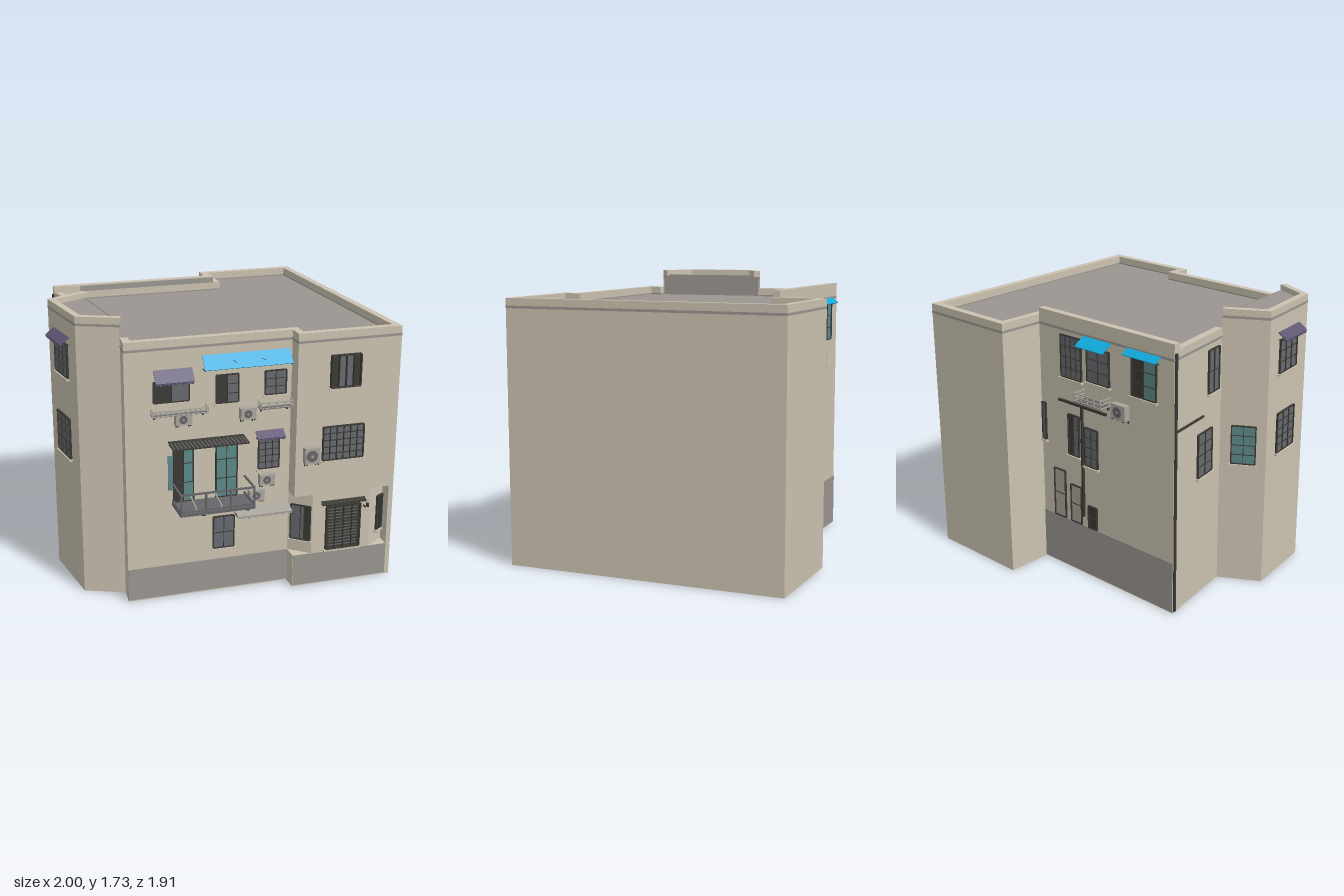
import * as THREE from 'three';

const mat = (name, color) => Object.assign(new THREE.MeshStandardMaterial({ color }), { name });
const M = {
  wall: mat('beige plaster', 0xcbc2b0),
  grey: mat('grey concrete', 0x9a9590),
  dark: mat('dark metal', 0x3b3a35),
  glass: mat('grey glass', 0x666a6e),
  teal: mat('teal glass', 0x5a8886),
  blue: mat('blue awning', 0x12a9dc),
  purple: mat('purple awning', 0x5f5673),
  metal: mat('light metal', 0xaaa59c),
  steel: mat('railing steel', 0x66666a),
};

function add(parent, geo, m, name, x = 0, y = 0, z = 0) {
  const mesh = new THREE.Mesh(geo, m);
  mesh.name = name;
  mesh.position.set(x, y, z);
  parent.add(mesh);
  return mesh;
}
// Box given by its extents
function box(p, name, m, x0, x1, y0, y1, z0, z1) {
  return add(p, new THREE.BoxGeometry(x1 - x0, y1 - y0, z1 - z0), m, name, (x0 + x1) / 2, (y0 + y1) / 2, (z0 + z1) / 2);
}
// Straight square bar between two points
function bar(p, name, m, a, b, t = 0.008) {
  const A = new THREE.Vector3(...a), B = new THREE.Vector3(...b);
  const mesh = add(p, new THREE.BoxGeometry(t, t, A.distanceTo(B)), m, name);
  mesh.position.copy(A).lerp(B, 0.5);
  mesh.lookAt(B);
  return mesh;
}
// Upright prism over a plan outline of [x, z] points
function prism(p, name, m, pts, y0, y1) {
  const shape = new THREE.Shape(pts.map(([x, z]) => new THREE.Vector2(x, -z)));
  const geo = new THREE.ExtrudeGeometry(shape, { depth: y1 - y0, bevelEnabled: false }).rotateX(-Math.PI / 2);
  return add(p, geo, m, name, 0, y0, 0);
}
// Open plan path shifted inward by d with mitred corners
function inset(pts, d) {
  const n = (a, b) => { const l = Math.hypot(b[0] - a[0], b[1] - a[1]); return [(b[1] - a[1]) / l, (a[0] - b[0]) / l]; };
  return pts.map((q, i) => {
    const n1 = i ? n(pts[i - 1], q) : n(q, pts[1]);
    const n2 = i < pts.length - 1 ? n(q, pts[i + 1]) : n1;
    const k = d / (1 + n1[0] * n2[0] + n1[1] * n2[1]);
    return [q[0] + (n1[0] + n2[0]) * k, q[1] + (n1[1] + n2[1]) * k];
  });
}
const parapet = (p, name, m, pts, d, y0, y1) => prism(p, name, m, [...pts, ...inset(pts, d).reverse()], y0, y1);

// Group lying on a wall: local x runs from a to b, local z points outward
function facade(root, name, a, b) {
  const g = new THREE.Group();
  g.name = name;
  g.position.set(a[0], 0, a[1]);
  g.rotation.y = Math.atan2(a[1] - b[1], b[0] - a[0]);
  root.add(g);
  return g;
}
// Window: one pane per colour, frame, glazing bars and sill
function win(p, x0, x1, y0, y1, { panes = [M.glass], cols = 2, rows = 2, depth = 0.012, sill = true } = {}) {
  const g = new THREE.Group();
  g.name = 'window';
  p.add(g);
  const w = (x1 - x0) / panes.length, t = 0.007;
  panes.forEach((m, i) => box(g, 'pane', m, x0 + i * w, x0 + (i + 1) * w, y0, y1, -0.003, 0.005));
  for (let i = 0; i <= cols; i++) {
    const x = x0 + (x1 - x0) * i / cols, h = i % cols ? t / 2 : t;
    box(g, 'upright', M.dark, x - h / 2, x + h / 2, y0, y1, 0, depth);
  }
  for (let i = 0; i <= rows; i++) {
    const y = y0 + (y1 - y0) * i / rows, h = i % rows ? t / 2 : t;
    box(g, 'crossbar', M.dark, x0, x1, y - h / 2, y + h / 2, 0, depth - 0.001);
  }
  if (sill) box(g, 'sill', M.wall, x0 - 0.012, x1 + 0.012, y0 - 0.014, y0 - 0.003, 0, 0.02);
}
// Sloping awning, with an optional scalloped fringe
function awning(p, m, x0, x1, yTop, yLow, depth, fringe) {
  const dy = yTop - yLow;
  const s = add(p, new THREE.BoxGeometry(x1 - x0, 0.006, Math.hypot(dy, depth)), m, 'awning', (x0 + x1) / 2, (yTop + yLow) / 2, depth / 2);
  s.rotation.x = Math.atan2(dy, depth);
  const n = fringe ? Math.round((x1 - x0) / 0.022) : 0, w = (x1 - x0) / n;
  for (let i = 0; i < n; i++)
    box(p, 'fringe', m, x0 + i * w, x0 + (i + 0.8) * w, yLow - (i % 2 ? 0.014 : 0.009), yLow + 0.003, depth - 0.006, depth);
  for (const x of [x0 + 0.005, x1 - 0.005]) bar(p, 'awningArm', M.dark, [x, yLow - 0.01, 0], [x, yLow, depth - 0.006], 0.004);
}
// Air conditioner with fan disc and brackets
function cooler(p, x0, x1, y0, y1) {
  box(p, 'airConditioner', M.metal, x0, x1, y0, y1, 0.005, 0.045);
  const r = (y1 - y0) * 0.36, x = x0 + (x1 - x0) * 0.45, y = (y0 + y1) / 2;
  add(p, new THREE.CylinderGeometry(r, r, 0.004, 16).rotateX(Math.PI / 2), M.steel, 'fanGrille', x, y, 0.046);
  add(p, new THREE.CylinderGeometry(r / 4, r / 4, 0.004, 8).rotateX(Math.PI / 2), M.metal, 'fanHub', x, y, 0.048);
  for (const bx of [x0 + 0.012, x1 - 0.012]) {
    box(p, 'bracket', M.dark, bx - 0.003, bx + 0.003, y0 - 0.006, y0, 0, 0.05);
    box(p, 'bracket', M.dark, bx - 0.003, bx + 0.003, y0 - 0.025, y0, 0, 0.006);
  }
}
// Slatted shelf under a window
function rack(p, x0, x1, y0, y1, d) {
  for (const y of [y0, (y0 + y1) / 2, y1]) {
    box(p, 'rackRail', M.metal, x0, x1, y - 0.003, y + 0.003, d - 0.006, d);
    for (const x of [x0, x1 - 0.006]) box(p, 'rackEnd', M.metal, x, x + 0.006, y - 0.003, y + 0.003, 0, d);
  }
  for (let i = 0; i <= 4; i++) {
    const x = x0 + (x1 - x0 - 0.006) * i / 4;
    box(p, 'rackPost', M.metal, x, x + 0.006, y0, y1, d - 0.006, d);
  }
  box(p, 'rackFloor', M.steel, x0, x1, y0 - 0.004, y0, 0, d);
  for (const x of [x0 + 0.02, x1 - 0.02]) box(p, 'rackBracket', M.dark, x - 0.004, x + 0.004, y0 - 0.03, y0, 0, 0.012);
}

export function createModel() {
  const root = new THREE.Group();
  root.name = 'townHouse';

  // Main body, with splayed corners beside the entrance
  const outline = [[-0.65, 0.6], [-0.66, 0.72], [0.35, 0.72], [0.35, 0.82], [1, 0.82], [0.93, -0.91],
    [0.27, -0.91], [0.27, -0.62], [-0.815, -0.62], [-0.72, -0.1]];
  const splayed = [...outline.slice(0, 3), [0.47, 0.82], [0.85, 0.82], [0.97, 0.74], [0.97, 0.82], ...outline.slice(4)];
  prism(root, 'lowerWalls', M.wall, outline, 0, 0.21);
  prism(root, 'groundFloorWalls', M.wall, splayed, 0.21, 0.6);
  prism(root, 'upperWalls', M.wall, outline, 0.6, 1.555);
  prism(root, 'roof', M.grey, inset(outline, 0.02), 1.555, 1.562);
  parapet(root, 'roofEdge', M.grey, inset(outline, -0.001), 0.044, 1.555, 1.57);
  parapet(root, 'parapet', M.wall, outline, 0.045, 1.57, 1.615);
  box(root, 'backParapet', M.wall, -0.815, 0.27, 1.61, 1.655, -0.62, -0.575);
  box(root, 'backParapetFace', M.grey, -0.64, 0.268, 1.615, 1.65, -0.576, -0.573);

  // Taller corner bay
  const bay = [[-0.72, -0.1], [-0.96, 0.04], [-0.885, 0.5], [-0.65, 0.6]];
  prism(root, 'bayWalls', M.wall, bay, 0, 1.69);
  prism(root, 'bayRoof', M.grey, inset(bay, 0.01), 1.69, 1.696);
  parapet(root, 'bayParapet', M.wall, bay, 0.04, 1.69, 1.73);
  parapet(root, 'bayRoofEdge', M.grey, inset(bay, -0.001), 0.01, 1.675, 1.69);
  parapet(root, 'bayInnerFace', M.grey, [[-0.645, 0.59], [-0.715, -0.09]], 0.006, 1.562, 1.7);

  // Concrete plinth bands
  parapet(root, 'frontPlinth', M.grey, [[-0.66, 0.723], [0.353, 0.723], [0.353, 0.823], [0.97, 0.823]], 0.004, 0.008, 0.21);
  box(root, 'backPlinth', M.grey, -0.815, 0.27, 0.008, 0.33, -0.624, -0.62);

  // Front left wall, top floor
  const fl = facade(root, 'frontLeftWall', [0, 0.72], [1, 0.72]);
  win(fl, -0.49, -0.28, 1.245, 1.37, { panes: [M.dark, M.glass], rows: 1 });
  awning(fl, M.purple, -0.49, -0.26, 1.44, 1.375, 0.06, true);
  win(fl, -0.115, 0.02, 1.21, 1.38, { panes: [M.dark, M.glass], rows: 3 });
  win(fl, 0.185, 0.315, 1.235, 1.38, { rows: 3 });
  awning(fl, M.blue, -0.2, 0.335, 1.505, 1.43, 0.06);
  for (const x of [-0.02, 0.155]) bar(fl, 'awningSeam', M.steel, [x, 1.508, 0.004], [x, 1.433, 0.064], 0.003);
  rack(fl, -0.51, -0.175, 1.18, 1.21, 0.06);
  rack(fl, 0.14, 0.345, 1.165, 1.2, 0.06);
  for (const [x, y, w] of [[-0.37, 1.11, 0.1], [0.025, 1.105, 0.095], [0.15, 0.675, 0.095], [0.085, 0.58, 0.095]])
    cooler(fl, x, x + w, y, y + 0.068);

  // Middle floor balcony doors, canopy and window
  win(fl, -0.375, -0.255, 0.62, 0.98, { panes: [M.dark, M.teal], rows: 3, sill: false });
  box(fl, 'openShutter', M.teal, -0.41, -0.38, 0.7, 0.915, 0.005, 0.012);
  win(fl, -0.115, 0.015, 0.62, 0.98, { panes: [M.teal, M.teal], rows: 3, sill: false });
  awning(fl, M.dark, -0.405, 0.055, 1.0, 0.988, 0.12);
  for (let x = -0.4; x < 0.05; x += 0.023) bar(fl, 'canopyRib', M.steel, [x, 1.003, 0], [x, 0.991, 0.122], 0.007);
  win(fl, 0.15, 0.28, 0.77, 0.975, { cols: 3, rows: 5 });
  awning(fl, M.purple, 0.13, 0.305, 1.01, 0.975, 0.05, true);

  // Balcony
  const bal = new THREE.Group();
  bal.name = 'balcony';
  fl.add(bal);
  const bx = [-0.385, -0.23, -0.08, 0.07];
  box(bal, 'balconyFloor', M.steel, -0.385, 0.07, 0.6, 0.618, 0, 0.19);
  for (const y of [0.63, 0.735]) {
    box(bal, 'frontRail', M.steel, -0.385, 0.07, y - 0.005, y + 0.005, 0.18, 0.19);
    for (const x of [-0.38, 0.065]) box(bal, 'sideRail', M.steel, x - 0.005, x + 0.005, y - 0.005, y + 0.005, 0, 0.19);
  }
  bx.forEach((x, i) => {
    const c = Math.min(Math.max(x, -0.38), 0.065);
    box(bal, 'post', M.steel, c - 0.005, c + 0.005, 0.6, 0.74, 0.18, 0.19);
    if (i > 1) return;
    bar(bal, 'brace', M.metal, [x, 0.63, 0.185], [bx[i + 1], 0.735, 0.185], 0.007);
    bar(bal, 'brace', M.metal, [x, 0.735, 0.185], [bx[i + 1], 0.63, 0.185], 0.007);
  });
  for (const x of [-0.23, 0.04]) box(bal, 'support', M.dark, x - 0.01, x + 0.01, 0.575, 0.6, 0, 0.15);

  // Ground floor window and striped awning
  win(fl, -0.13, 0, 0.285, 0.49, { rows: 2 });
  awning(fl, M.metal, 0, 0.345, 0.53, 0.505, 0.085, true);

  // Front right wall with entrance
  const fr = facade(root, 'frontRightWall', [0, 0.82], [1, 0.82]);
  win(fr, 0.555, 0.74, 1.275, 1.47, { panes: [M.dark, M.glass, M.glass, M.dark], cols: 4, rows: 1, depth: 0.025 });
  win(fr, 0.52, 0.78, 0.82, 1.03, { cols: 6, rows: 5, depth: 0.016 });
  cooler(fr, 0.395, 0.49, 0.82, 0.92);
  win(fr, 0.56, 0.78, 0.23, 0.515, { panes: [M.dark], cols: 4, rows: 3, depth: 0.02 });
  for (let i = 1; i < 14; i++) box(fr, 'doorSlat', M.steel, 0.575, 0.765, 0.23 + i * 0.02, 0.235 + i * 0.02, 0, 0.009);
  awning(fr, M.dark, 0.525, 0.81, 0.548, 0.535, 0.035);
  bar(fr, 'lampArm', M.dark, [0.79, 0.49, 0], [0.825, 0.49, 0.02], 0.007);
  box(fr, 'lamp', M.dark, 0.818, 0.832, 0.485, 0.51, 0.01, 0.024);
  const sl = facade(root, 'leftSplay', [0.35, 0.72], [0.47, 0.82]);
  win(sl, 0.02, 0.145, 0.295, 0.52, { panes: [M.glass, M.glass, M.dark], rows: 1 });
  const sr = facade(root, 'rightSplay', [0.85, 0.82], [0.97, 0.74]);
  win(sr, 0.075, 0.135, 0.295, 0.52, { panes: [M.dark], rows: 1 });

  // Bay and left wall windows
  const bs = facade(root, 'baySide', bay[1], bay[2]);
  win(bs, 0.12, 0.33, 1.325, 1.53, { cols: 3, rows: 3 });
  awning(bs, M.purple, 0.1, 0.36, 1.58, 1.54, 0.055, true);
  win(bs, 0.12, 0.33, 0.82, 1.07, { cols: 3, rows: 5 });
  const bb = facade(root, 'bayBack', bay[0], bay[1]);
  win(bb, 0.07, 0.215, 0.78, 1.02, { panes: [M.teal], cols: 2, rows: 4 });
  const lw = facade(root, 'leftWall', outline[8], outline[9]);
  win(lw, 0.37, 0.49, 1.26, 1.52, { rows: 2 });
  win(lw, 0.26, 0.42, 0.77, 1.04, { rows: 4 });
  box(lw, 'wallPipe', M.dark, 0.02, 0.32, 1.136, 1.146, 0, 0.012);
  box(lw, 'cornerDrain', M.dark, 0.005, 0.022, 0.01, 1.6, 0, 0.01);

  // Back wall, local x runs opposite to the model's x
  const bk = facade(root, 'backWall', [0, -0.62], [-1, -0.62]);
  win(bk, -0.08, 0.09, 1.27, 1.53, { cols: 4, rows: 4 });
  win(bk, 0.14, 0.32, 1.29, 1.5, { cols: 2, rows: 3 });
  win(bk, 0.5, 0.685, 1.29, 1.53, { panes: [M.dark, M.teal], rows: 3 });
  awning(bk, M.blue, 0.11, 0.335, 1.555, 1.51, 0.075);
  awning(bk, M.blue, 0.46, 0.715, 1.56, 1.53, 0.045);
  rack(bk, 0.11, 0.33, 1.18, 1.23, 0.09);
  cooler(bk, 0.37, 0.48, 1.13, 1.22);
  win(bk, -0.03, 0.06, 0.78, 1.04, { panes: [M.dark, M.glass], rows: 3 });
  win(bk, 0.11, 0.215, 0.745, 0.99, { rows: 4 });
  win(bk, -0.26, -0.23, 0.82, 1.06, { cols: 1, rows: 3 });
  for (const [x0, x1, y1] of [[-0.165, -0.07, 0.65], [-0.02, 0.07, 0.58], [0.13, 0.2, 0.48]])
    win(bk, x0, x1, 0.335, y1, { panes: [x0 > 0 ? M.dark : M.metal], cols: 1, rows: 2, sill: false });
  box(bk, 'wastePipe', M.dark, -0.1, 0.3, 1.112, 1.126, 0.005, 0.02);
  box(bk, 'downPipe', M.dark, 0.088, 0.102, 0.4, 1.12, 0.005, 0.02);

  return root;
}
